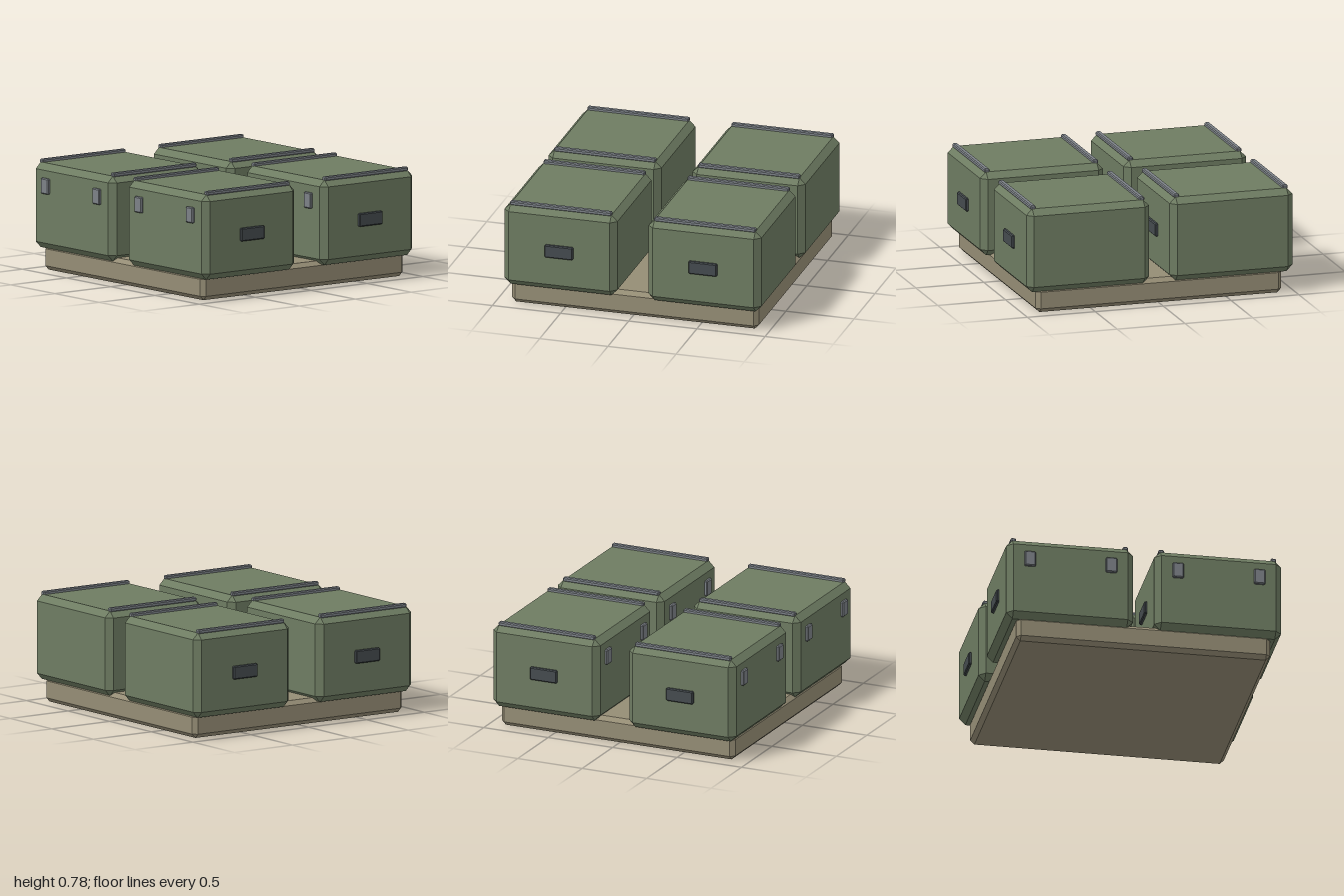
import * as THREE from 'three';
import { ConvexGeometry } from 'three/addons/geometries/ConvexGeometry.js';

const flat = (name, color) => {
  const m = new THREE.MeshStandardMaterial({ color });
  m.name = name;
  return m;
};

// Box with every edge cut at 45 degrees by c
function chamferBox(w, h, d, c) {
  const pts = [];
  for (const x of [-1, 1]) for (const y of [-1, 1]) for (const z of [-1, 1]) {
    for (let full = 0; full < 3; full++) {
      pts.push(new THREE.Vector3(
        x * (w / 2 - (full === 0 ? 0 : c)),
        y * (h / 2 - (full === 1 ? 0 : c)),
        z * (d / 2 - (full === 2 ? 0 : c))));
    }
  }
  return new ConvexGeometry(pts);
}

export function createModel() {
  const green = flat('crateGreen', 0x6e7c62);
  const tan = flat('palletTan', 0x958d75);
  const grey = flat('metalGrey', 0x7c8187);
  const dark = flat('handleDark', 0x454b4f);

  const model = new THREE.Group();
  model.name = 'crateStack';

  const add = (parent, name, geo, mat, x, y, z) => {
    const mesh = new THREE.Mesh(geo, mat);
    mesh.name = name;
    mesh.position.set(x, y, z);
    parent.add(mesh);
  };

  // Pallet slab
  add(model, 'pallet', chamferBox(1.81, 0.18, 1.81, 0.03), tan, 0, 0.09, -0.012);

  // Shared crate geometries
  const W = 0.904, H = 0.604, D = 0.828;
  const bodyGeo = chamferBox(W, H, D, 0.044);
  const railGeo = chamferBox(0.038, 0.03, 0.744, 0.007);
  const latchGeo = chamferBox(0.08, 0.112, 0.038, 0.007);
  const handleGeo = chamferBox(0.038, 0.094, 0.208, 0.007);

  // Four crates in a two by two grid
  for (const sx of [-1, 1]) for (const sz of [-1, 1]) {
    const crate = new THREE.Group();
    crate.name = `${sz > 0 ? 'front' : 'back'}${sx > 0 ? 'Left' : 'Right'}Crate`;
    crate.position.set(sx * 0.528, 0.457, -0.012 + sz * 0.528);
    add(crate, 'body', bodyGeo, green, 0, 0, 0);
    for (const s of [-1, 1]) {
      add(crate, 'topRail', railGeo, grey, s * 0.4, 0.309, 0);
      add(crate, 'latch', latchGeo, grey, s * 0.29, 0.149, D / 2 + 0.001);
      add(crate, 'handle', handleGeo, dark, s * (W / 2 + 0.001), -0.003, 0);
    }
    model.add(crate);
  }
  return model;
}
